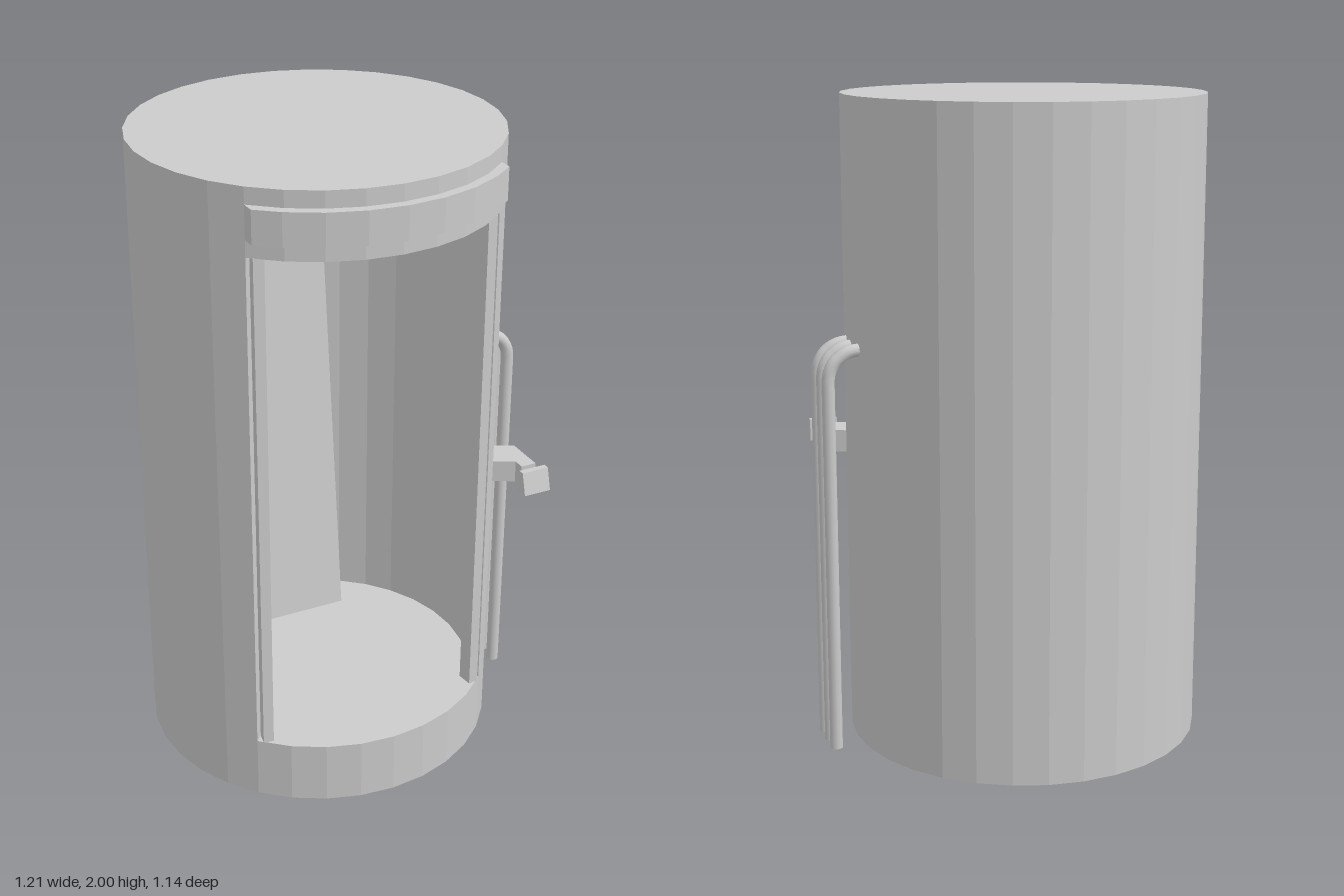
import * as THREE from 'three';

const R = 0.553, R_IN = 0.5, SIDES = 32;
const STEP = (Math.PI * 2) / SIDES;

const material = new THREE.MeshStandardMaterial({ color: 0xcccccc, flatShading: true });
const smooth = new THREE.MeshStandardMaterial({ color: 0xcccccc });

// Plan point at radius r, k facets round from the front (front is -y in plan)
const at = (r, k) => new THREE.Vector2(r * Math.sin(k * STEP), -r * Math.cos(k * STEP));

function arc(r, from, to) {
  const points = [];
  for (let k = from; k <= to; k++) points.push(at(r, k));
  return points;
}

// Raise a plan outline from y0 to y1
function raise(shape, y0, y1) {
  const geometry = new THREE.ExtrudeGeometry(shape, { depth: y1 - y0, bevelEnabled: false });
  return geometry.rotateX(-Math.PI / 2).translate(0, y0, 0);
}

function ring() {
  const shape = new THREE.Shape(arc(R, 0, SIDES - 1));
  shape.holes.push(new THREE.Path(arc(R_IN, 0, SIDES - 1)));
  return shape;
}

export function createModel() {
  const model = new THREE.Group();
  model.name = 'pod';
  const body = new THREE.Group();
  body.name = 'body';
  body.position.set(-0.054, 0, -0.014);
  model.add(body);

  const add = (name, geometry, mat = material) => {
    const mesh = new THREE.Mesh(geometry, mat);
    mesh.name = name;
    body.add(mesh);
    return mesh;
  };

  // Shell: base ring, wall open over the front quarter, top ring
  add('baseRing', raise(ring(), 0, 0.2));
  const wall = new THREE.Shape([...arc(R, 4, 28), ...arc(R_IN, 4, 28).reverse()]);
  add('wall', raise(wall, 0.2, 1.8));
  add('topRing', raise(ring(), 1.8, 1.95));
  add('roof', raise(new THREE.Shape(arc(R, 0, SIDES - 1)), 1.95, 2));
  add('floor', raise(new THREE.Shape(arc(R_IN, 0, SIDES - 1)), 0.125, 0.135));

  // Upright strips at both edges of the doorway, turned slightly inwards
  for (const side of [-1, 1]) {
    const strip = new THREE.BoxGeometry(0.032, 1.6, 0.05).rotateY(side * 0.15);
    add('doorStrip', strip.translate(side * 0.357, 1, 0.385));
  }

  // Curved band above the doorway, ends cut square
  const band = new THREE.Shape([
    new THREE.Vector2(-0.39, -0.433), ...arc(0.583, -3, 3), new THREE.Vector2(0.39, -0.433),
    ...arc(R, -4, 4).reverse(),
  ]);
  add('headerBand', raise(band, 1.85, 1.95));

  // Leaning back board: side profile (z, y) extruded across the width
  const profile = new THREE.Shape([[-0.205, 0.2], [-0.395, 1.95], [-0.42, 1.95], [-0.23, 0.2]]
    .map(([z, y]) => new THREE.Vector2(-z, y)));
  const board = new THREE.ExtrudeGeometry(profile, { depth: 0.37, bevelEnabled: false });
  add('backBoard', board.rotateY(Math.PI / 2).translate(-0.185, 0, 0));

  // Three pipes rising from the ground and bending into the wall
  for (const z of [-0.07, 0, 0.07]) {
    const path = new THREE.CurvePath();
    const v = (x, y) => new THREE.Vector3(x, y, z);
    path.add(new THREE.LineCurve3(v(0.638, 0), v(0.638, 1.165)));
    const bend = [];
    for (let i = 0; i <= 8; i++) {
      const a = (i / 8) * Math.PI / 2;
      bend.push(v(0.548 + 0.09 * Math.cos(a), 1.165 + 0.09 * Math.sin(a)));
    }
    for (let i = 0; i < 8; i++) path.add(new THREE.LineCurve3(bend[i], bend[i + 1]));
    path.add(new THREE.LineCurve3(bend[8], v(0.52, 1.255)));
    add('pipe', new THREE.TubeGeometry(path, 96, 0.02, 12), smooth);
    add('pipeEnd', new THREE.CircleGeometry(0.02, 12).rotateX(Math.PI / 2).translate(0.638, 0, z));
  }

  // Control arm on the left wall, bent towards the front
  const arm = new THREE.Shape([
    [0.49, 0.205], [0.572, 0.245], [0.572, 0.375], [0.522, 0.375], [0.522, 0.34], [0.44, 0.3],
  ].map(([x, z]) => new THREE.Vector2(x, -z)));
  add('controlArm', raise(arm, 0.87, 0.94));
  add('controlNeck', new THREE.BoxGeometry(0.025, 0.045, 0.03).translate(0.547, 0.9, 0.385));

  // Control head with a sloping front
  const head = new THREE.Shape([[0.395, 0.87], [0.435, 0.87], [0.415, 0.94], [0.395, 0.94]]
    .map(([z, y]) => new THREE.Vector2(-z, y)));
  const headGeometry = new THREE.ExtrudeGeometry(head, { depth: 0.09, bevelEnabled: false });
  add('controlHead', headGeometry.rotateY(Math.PI / 2).translate(0.502, 0, 0));

  return model;
}
